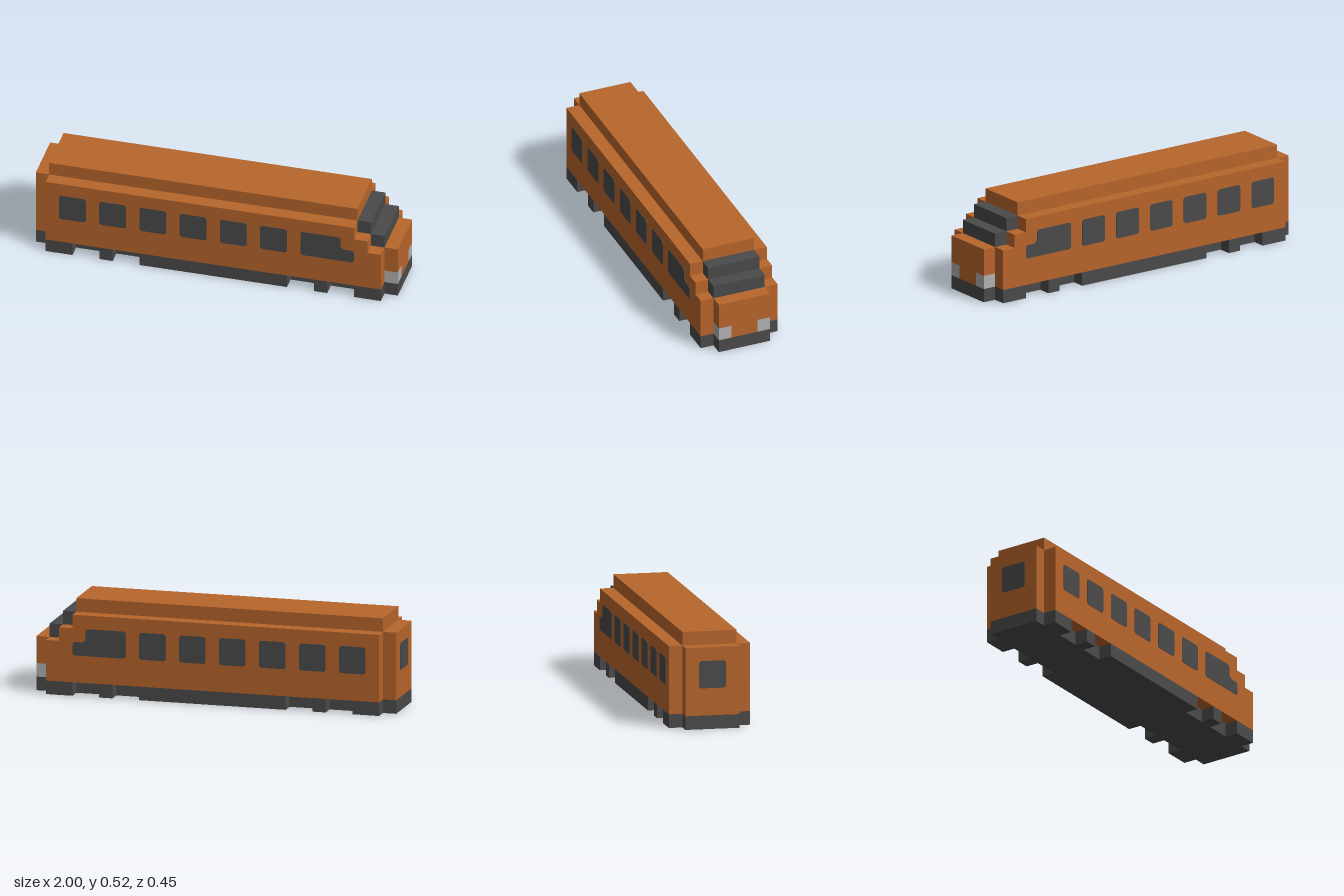
import * as THREE from 'three';

// The carriage is laid out on a grid of cells: 27 long, 7 high, 6 wide.
const CELL = 2 / 27;

const orange = new THREE.MeshStandardMaterial({ color: 0xb8652b });
orange.name = 'orange paint';
const dark = new THREE.MeshStandardMaterial({ color: 0x4a4a4a });
dark.name = 'dark grey';
const light = new THREE.MeshStandardMaterial({ color: 0xb2b2b2 });
light.name = 'light grey';

export function createModel() {
  const model = new THREE.Group();
  model.name = 'railCarriage';

  function add(name, geometry, material) {
    geometry.scale(CELL, CELL, CELL);
    const mesh = new THREE.Mesh(geometry, material);
    mesh.name = name;
    model.add(mesh);
    return mesh;
  }

  // Box between cell coordinates; x counts from the rear end, z from the centre line
  function box(name, material, x0, x1, y0, y1, z0, z1) {
    const g = new THREE.BoxGeometry(x1 - x0, y1 - y0, z1 - z0);
    g.translate((x0 + x1) / 2 - 13.5, (y0 + y1) / 2, (z0 + z1) / 2);
    return add(name, g, material);
  }

  // Side outline in cells, extruded from z0 to z1
  function slab(name, material, points, z0, z1) {
    const shape = new THREE.Shape(points.map(([x, y]) => new THREE.Vector2(x - 13.5, y)));
    const g = new THREE.ExtrudeGeometry(shape, { depth: z1 - z0, bevelEnabled: false });
    g.translate(0, 0, z0);
    return add(name, g, material);
  }

  // Rectangle with small cut corners
  function pane(x0, x1, y0, y1, c = 0.14) {
    return [[x0 + c, y0], [x1 - c, y0], [x1, y0 + c], [x1, y1 - c],
      [x1 - c, y1], [x0 + c, y1], [x0, y1 - c], [x0, y0 + c]];
  }

  // Central body with the raised roof and stepped nose
  slab('centreBody', orange, [[0, 1], [26, 1], [26, 2], [27, 2], [27, 4], [25, 4],
    [25, 5], [24, 5], [24, 7], [1, 7], [1, 6], [0, 6]], -2, 2);
  box('noseCentre', orange, 26, 27, 1, 2, -1, 1);
  box('windshieldLower', dark, 25, 26, 4, 5, -2, 2);
  box('windshieldUpper', dark, 24, 25, 5, 6, -2, 2);

  // Chassis core
  box('chassis', dark, 0, 27, 0, 1, -2, 2);

  const sideOutline = [[1, 1], [26, 1], [26, 4], [25, 4], [25, 5], [24, 5], [24, 6], [1, 6]];
  const skirtSpans = [[1, 3], [5, 6], [8, 19], [21, 22], [24, 26]];
  // Long cab window, stepped down towards the nose
  const cabWindow = [[20.14, 3], [23.86, 3], [24, 3.14], [24, 3.86], [23.86, 4],
    [23.25, 4], [23, 4.2], [23, 4.86], [22.86, 5], [20.14, 5], [20, 4.86], [20, 3.14]];

  for (const [side, s] of [['left', -1], ['right', 1]].map(([n, k]) => [n, -k])) {
    const span = (a, b) => (s > 0 ? [a, b] : [-b, -a]);
    slab(side + 'SidePanel', orange, sideOutline, ...span(2, 3));
    // Skirt blocks with gaps for the running gear
    for (const [x0, x1] of skirtSpans) box(side + 'Skirt', dark, x0, x1, 0, 1, ...span(2, 3));
    // Passenger windows and cab window
    for (let i = 0; i < 6; i++) {
      slab(side + 'Window', dark, pane(2 + 3 * i, 4 + 3 * i, 3, 5), ...span(2.98, 3.03));
    }
    slab(side + 'CabWindow', dark, cabWindow, ...span(2.98, 3.03));
    // Headlight on the nose corner
    box(side + 'Headlight', light, 26, 27, 1, 2, ...span(1, 2));
  }

  // Rear end window
  const rear = slab('rearWindow', dark, pane(12.5, 14.5, 3, 5), -0.02, 0.03);
  rear.rotation.y = -Math.PI / 2;
  rear.position.x = -1;

  return model;
}
